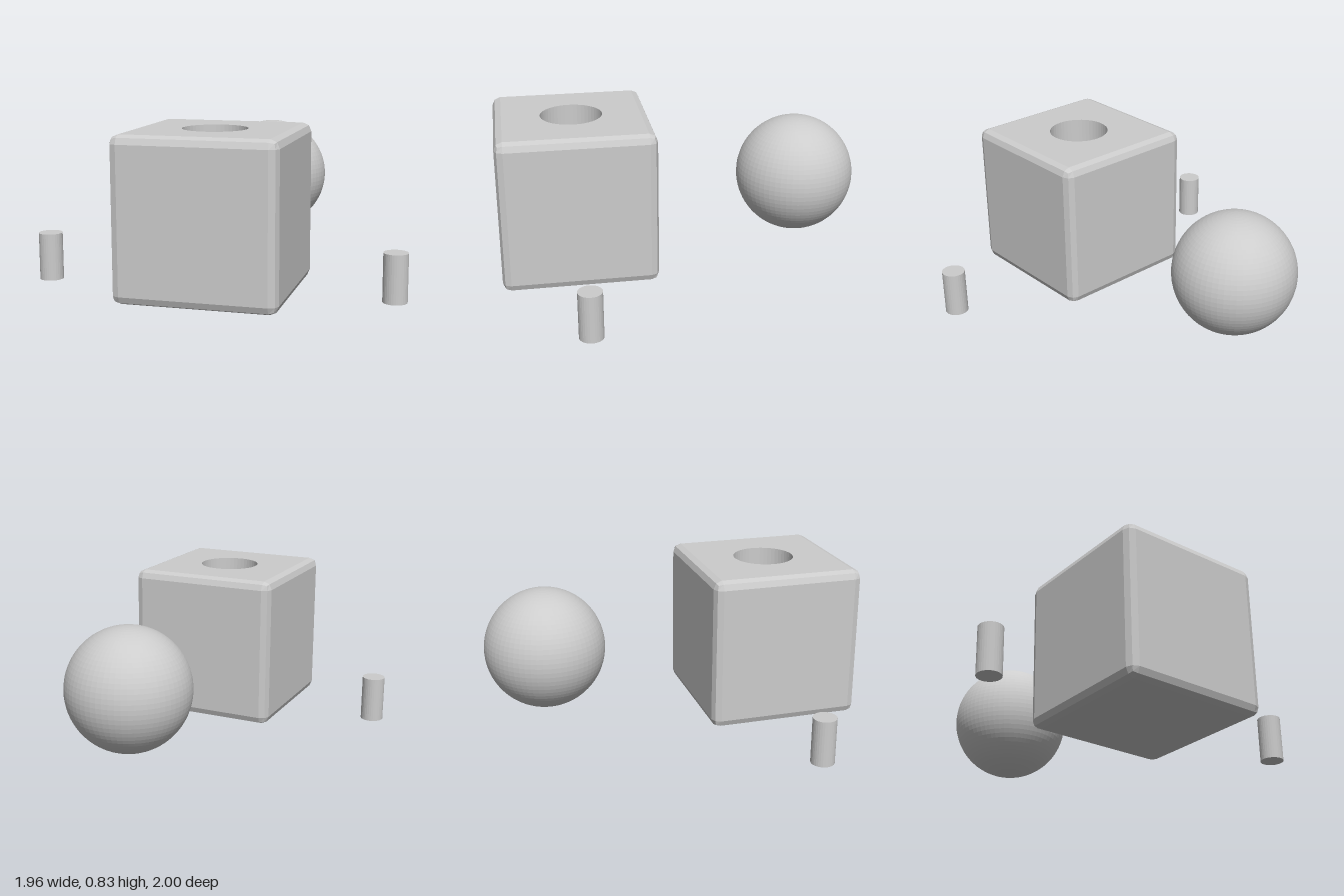
import * as THREE from 'three';
import { RoundedBoxGeometry } from 'three/addons/geometries/RoundedBoxGeometry.js';

const SIZE = 0.834, BEVEL = 0.045, HOLE_R = 0.167, HOLE_DEPTH = 0.42;

export function createModel() {
  const group = new THREE.Group();
  const grey = new THREE.MeshStandardMaterial({ color: 0xcccccc, flatShading: true });
  grey.name = 'light grey';

  const add = (name, geometry, x, y, z, parent = group) => {
    const mesh = new THREE.Mesh(geometry, grey);
    mesh.name = name;
    mesh.position.set(x, y, z);
    parent.add(mesh);
    return mesh;
  };

  // Bevelled cube with a round blind hole in its top
  const block = new THREE.Group();
  block.name = 'block';
  block.position.set(0, SIZE / 2, 0.583);
  group.add(block);
  add('blockShell', openTopBox(), 0, 0, 0, block);

  const h = SIZE / 2 - BEVEL;
  const top = new THREE.Shape([[-h, -h], [h, -h], [h, h], [-h, h]].map(p => new THREE.Vector2(...p)));
  top.holes.push(new THREE.Path().absarc(0, 0, HOLE_R, 0, Math.PI * 2, true));
  add('blockTop', new THREE.ShapeGeometry(top, 24).rotateX(-Math.PI / 2), 0, SIZE / 2, 0, block);

  // Hole wall and floor, seen from inside
  const bore = new THREE.LatheGeometry([
    new THREE.Vector2(HOLE_R, SIZE / 2),
    new THREE.Vector2(HOLE_R, SIZE / 2 - HOLE_DEPTH),
    new THREE.Vector2(0, SIZE / 2 - HOLE_DEPTH),
  ], 48);
  add('hole', bore, 0, 0, 0, block);

  // Ball behind the block
  add('ball', new THREE.SphereGeometry(0.328, 64, 40), 0, 0.42, -0.672);

  // Pegs on both sides
  for (const [name, side] of [['leftPeg', 1], ['rightPeg', -1]]) {
    add(name, new THREE.CylinderGeometry(0.0625, 0.0625, 0.25, 32), side * 0.917, 0.125, 0.583);
  }
  return group;
}

// Rounded box without the flat part of its top face
function openTopBox() {
  const box = new RoundedBoxGeometry(SIZE, SIZE, SIZE, 1, BEVEL);
  const source = box.index ? box.toNonIndexed() : box;
  const p = source.attributes.position;
  const kept = [];
  for (let i = 0; i < p.count; i += 3) {
    const flatTop = [0, 1, 2].every(k => p.getY(i + k) > SIZE / 2 - 1e-4);
    if (flatTop) continue;
    for (let k = 0; k < 3; k++) kept.push(p.getX(i + k), p.getY(i + k), p.getZ(i + k));
  }
  const shell = new THREE.BufferGeometry();
  shell.setAttribute('position', new THREE.Float32BufferAttribute(kept, 3));
  shell.computeVertexNormals();
  return shell;
}
